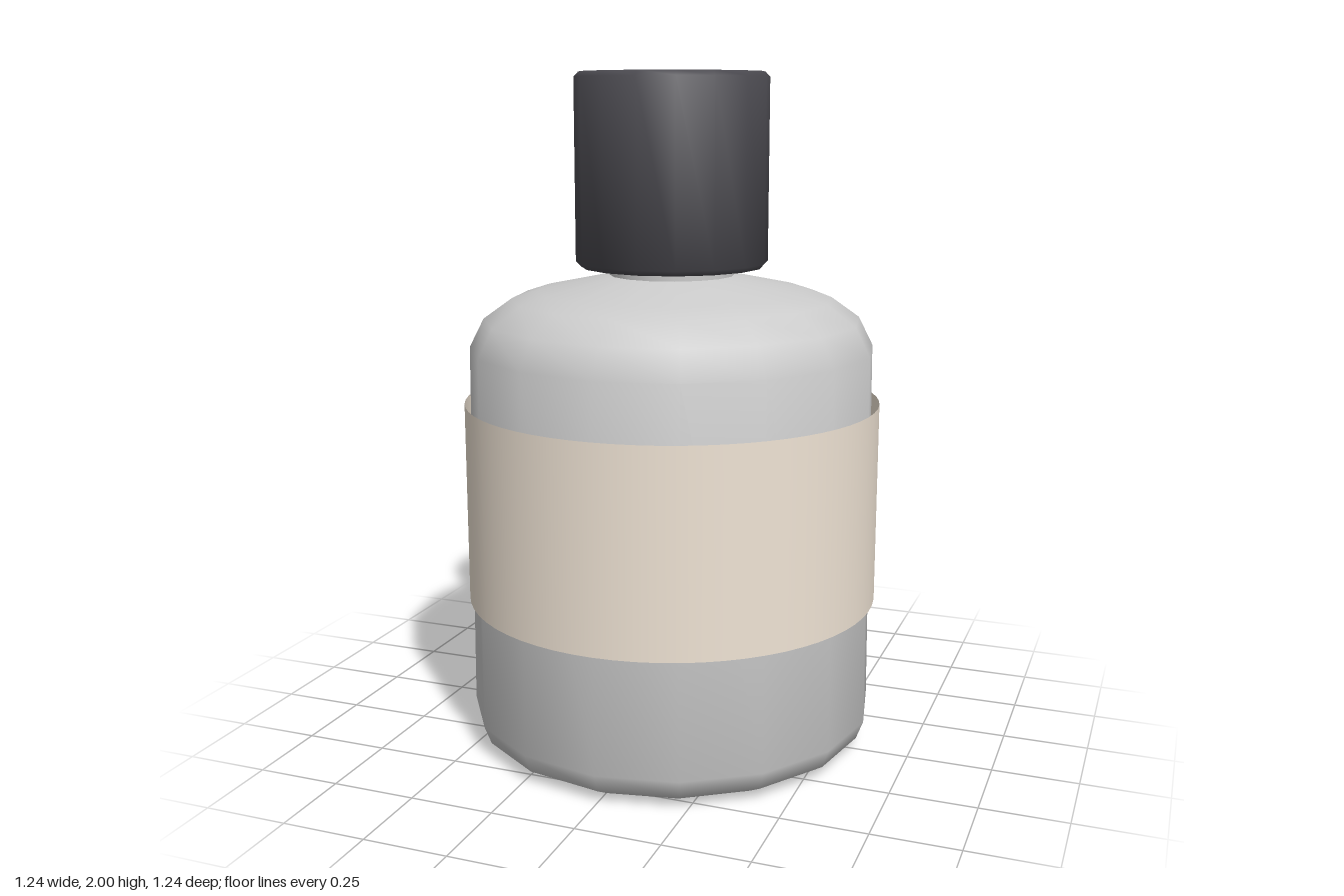
import * as THREE from 'three';
import { toCreasedNormals } from 'three/addons/utils/BufferGeometryUtils.js';

const SIDES = 16;

// Turned part from [radius, height] points, with sharp edges kept
function turned(name, points, material) {
  const profile = points.map(([r, y]) => new THREE.Vector2(r, y));
  const geometry = toCreasedNormals(new THREE.LatheGeometry(profile, SIDES), 0.85);
  const mesh = new THREE.Mesh(geometry, material);
  mesh.name = name;
  return mesh;
}

export function createModel() {
  const group = new THREE.Group();
  group.name = 'bottle';

  const glass = new THREE.MeshStandardMaterial({ color: 0xcccccc });
  const dark = new THREE.MeshStandardMaterial({ color: 0x4a494f });
  const paper = new THREE.MeshStandardMaterial({ color: 0xf0e4d5, side: THREE.DoubleSide });

  // Body with rounded base, sloping shoulder and narrow neck
  group.add(turned('body', [
    [0, 0], [0.53, 0], [0.593, 0.035], [0.614, 0.09],
    [0.603, 1.2], [0.56, 1.285], [0.476, 1.345], [0.4, 1.37],
    [0.185, 1.415], [0.185, 1.5], [0, 1.5],
  ], glass));

  // Cap with small bevels on both rims
  group.add(turned('cap', [
    [0, 1.44], [0.27, 1.44], [0.284, 1.455],
    [0.284, 1.985], [0.27, 2], [0, 2],
  ], dark));

  // Open label band wrapped around the body
  const label = new THREE.Mesh(
    new THREE.CylinderGeometry(0.62, 0.62, 0.6, 64, 1, true), paper);
  label.name = 'label';
  label.position.y = 0.74;
  group.add(label);

  return group;
}
